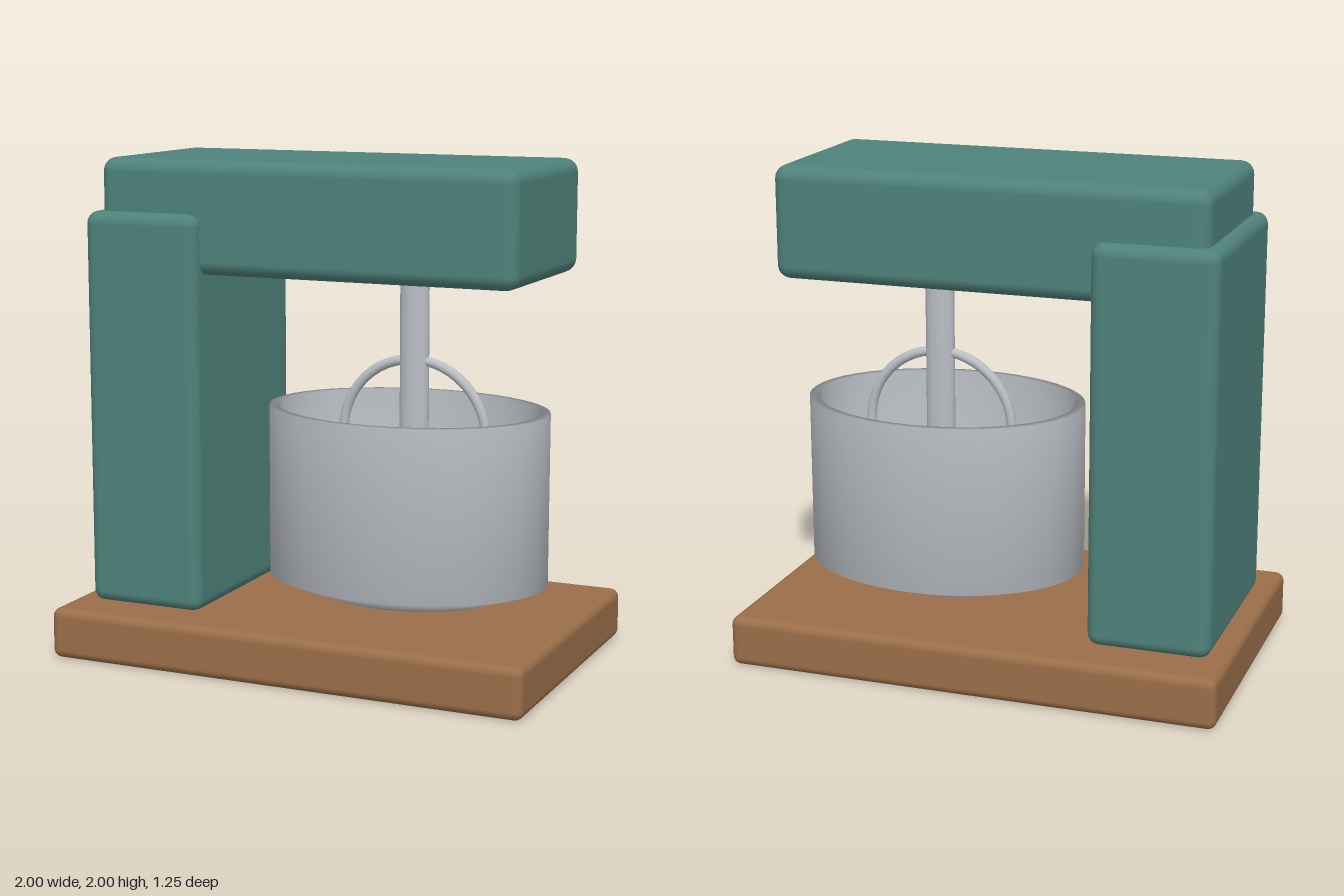
import * as THREE from 'three';
import { RoundedBoxGeometry } from 'three/addons/geometries/RoundedBoxGeometry.js';

function material(name, color) {
  const m = new THREE.MeshStandardMaterial({ color });
  m.name = name;
  return m;
}

export function createModel() {
  const model = new THREE.Group();
  model.name = 'standMixer';
  const teal = material('teal enamel', 0x4f827b);
  const wood = material('brown wood', 0x9a6e49);
  const steel = material('brushed steel', 0xbabec3);

  function add(name, geometry, mat, x = 0, y = 0, z = 0) {
    const mesh = new THREE.Mesh(geometry, mat);
    mesh.name = name;
    mesh.position.set(x, y, z);
    model.add(mesh);
    return mesh;
  }

  // Rounded block given by its x and y limits and its depth
  function block(name, mat, [x0, x1], [y0, y1], depth, radius) {
    const geometry = new RoundedBoxGeometry(x1 - x0, y1 - y0, depth, 3, radius);
    add(name, geometry, mat, (x0 + x1) / 2, (y0 + y1) / 2);
  }

  // Body: base board, upright column and overhanging head
  block('base', wood, [-1, 1], [0, 0.205], 1.245, 0.035);
  block('column', teal, [-0.925, -0.43], [0.195, 1.79], 0.86, 0.05);
  block('head', teal, [-0.875, 0.87], [1.55, 2], 0.765, 0.055);

  // Oval bowl: unit-radius profile, outside then inside, stretched in x and z
  const profile = [
    [0, 0.26], [0.61, 0.26], [1, 0.335], [1, 1.02],
    [0.93, 1.02], [0.93, 0.37], [0.57, 0.31], [0, 0.31],
  ].map(([r, y]) => new THREE.Vector2(r, y));
  const bowl = new THREE.LatheGeometry(profile, 48);
  bowl.scale(0.575, 1, 0.44);
  add('bowl', bowl, steel, 0.295);

  // Whisk: oval drive shaft with a round wire loop
  const shaft = new THREE.CylinderGeometry(0.06, 0.06, 1, 24);
  shaft.scale(1, 1, 0.7);
  add('whiskShaft', shaft, steel, 0.32, 1.1);
  add('whiskLoop', new THREE.TorusGeometry(0.305, 0.02, 12, 48), steel, 0.32, 0.91);

  return model;
}
